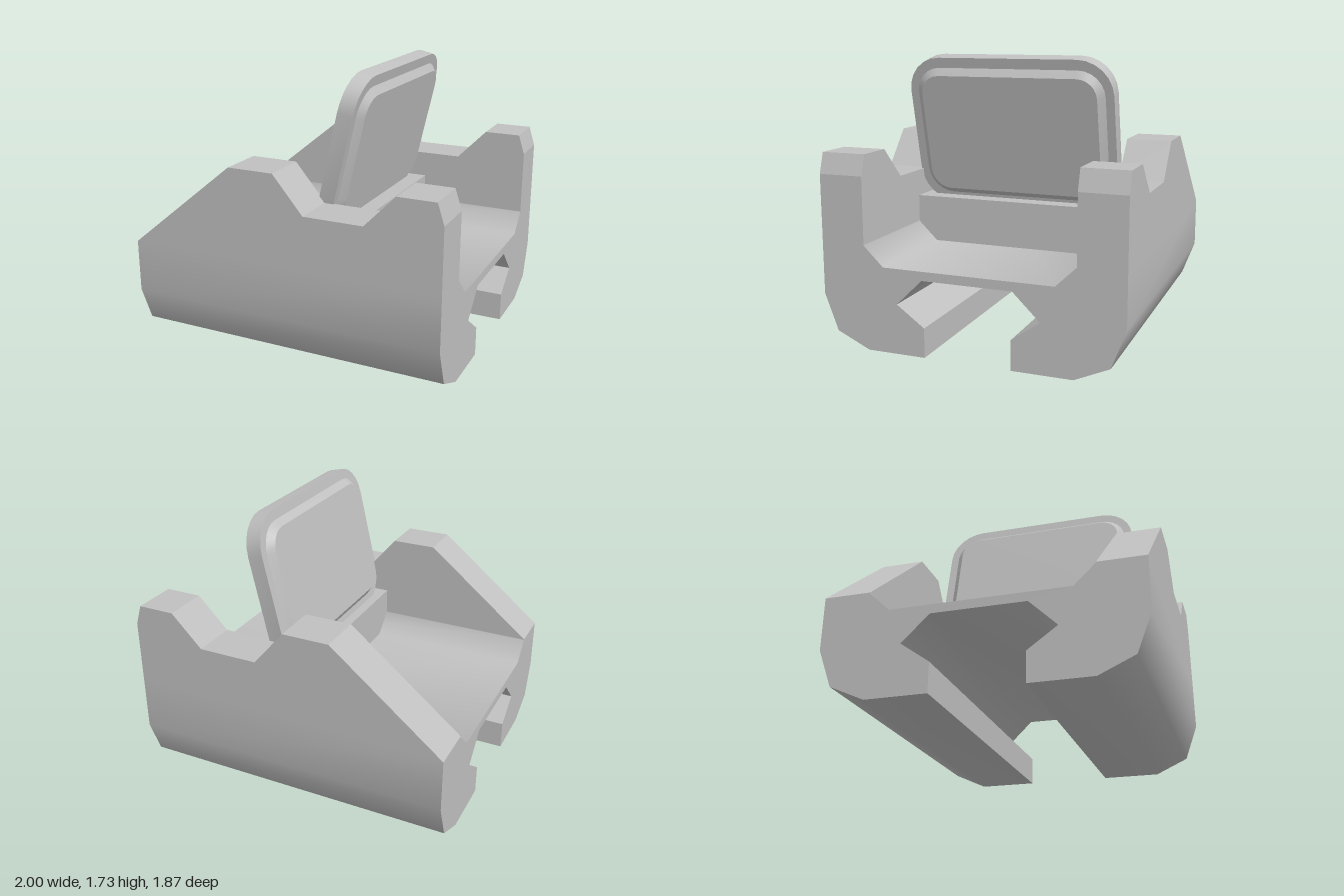
import * as THREE from 'three';
import { toCreasedNormals } from 'three/addons/utils/BufferGeometryUtils.js';

const grey = new THREE.MeshStandardMaterial({ color: 0xc0c0c0 });
grey.name = 'plain grey';

const polygon = (points) => new THREE.Shape(points.map(([x, y]) => new THREE.Vector2(x, y)));

// Closed outline from one half, mirrored across the vertical axis
const mirrored = (half) => polygon([...half, ...half.map(([x, y]) => [-x, y]).reverse()]);

function roundedRect(w, h, r) {
  const shape = new THREE.Shape();
  shape.absarc(w - r, h - r, r, 0, Math.PI / 2);
  shape.absarc(r - w, h - r, r, Math.PI / 2, Math.PI);
  shape.absarc(r - w, r - h, r, Math.PI, Math.PI * 1.5);
  shape.absarc(w - r, r - h, r, Math.PI * 1.5, Math.PI * 2);
  shape.closePath();
  return shape;
}

function extrude(shape, depth, options = {}) {
  return new THREE.ExtrudeGeometry(shape, { depth, bevelEnabled: false, curveSegments: 3, ...options });
}

function addPart(parent, name, geometry, crease = 0.1) {
  const mesh = new THREE.Mesh(toCreasedNormals(geometry, crease), grey);
  mesh.name = name;
  parent.add(mesh);
}

export function createModel() {
  const model = new THREE.Group();
  model.name = 'railMountedSight';

  // Base: trough above, clamp slot below, running along x
  const base = polygon([
    [0.27, 0], [0.64, 0], [0.85, 0.095], [0.935, 0.32], [0.935, 0.645],
    [0.655, 0.645], [0.655, 0.64], [0.53, 0.52],
    [-0.53, 0.52], [-0.655, 0.64], [-0.655, 0.645],
    [-0.935, 0.645], [-0.935, 0.32], [-0.85, 0.095], [-0.64, 0], [-0.27, 0],
    [-0.27, 0.18], [-0.445, 0.305], [-0.28, 0.465],
    [0.28, 0.465], [0.445, 0.305], [0.27, 0.18],
  ]);
  addPart(model, 'base', extrude(base, 2).rotateY(Math.PI / 2).translate(-1, 0, 0), 0.82);

  // Side walls with the sloped and notched top edge
  const wall = polygon([
    [-1, 0.645], [1, 0.645], [1, 1.05], [0.96, 1.175], [0.73, 1.175],
    [0.54, 0.98], [0.17, 0.98], [-0.02, 1.205], [-0.31, 1.205],
  ]);
  for (const [name, z] of [['frontWall', 0.655], ['backWall', -0.935]]) {
    addPart(model, name, extrude(wall, 0.28).translate(0, 0, z));
  }

  // Cross bar that holds the plate
  const bar = mirrored([[0.53, 0.52], [0.655, 0.64], [0.655, 0.813]]);
  addPart(model, 'crossBar', extrude(bar, 0.27).rotateY(Math.PI / 2).translate(0.03, 0, 0));

  // Leaning plate: rounded frame with a bevelled panel on both faces
  const plate = new THREE.Group();
  plate.name = 'leaningPlate';
  plate.position.set(0.241, 1.251, 0);
  plate.rotation.z = -0.225;
  model.add(plate);

  const frame = extrude(roundedRect(0.667, 0.483, 0.22), 0.097);
  const panel = extrude(roundedRect(0.615, 0.42, 0.165), 0.095, {
    bevelEnabled: true, bevelSegments: 1, bevelThickness: 0.039, bevelSize: 0.043, bevelOffset: -0.043,
  });
  for (const [name, geometry] of [['frame', frame], ['bevelledPanel', panel]]) {
    geometry.center();
    addPart(plate, name, geometry.rotateY(Math.PI / 2), 0.7);
  }
  return model;
}
